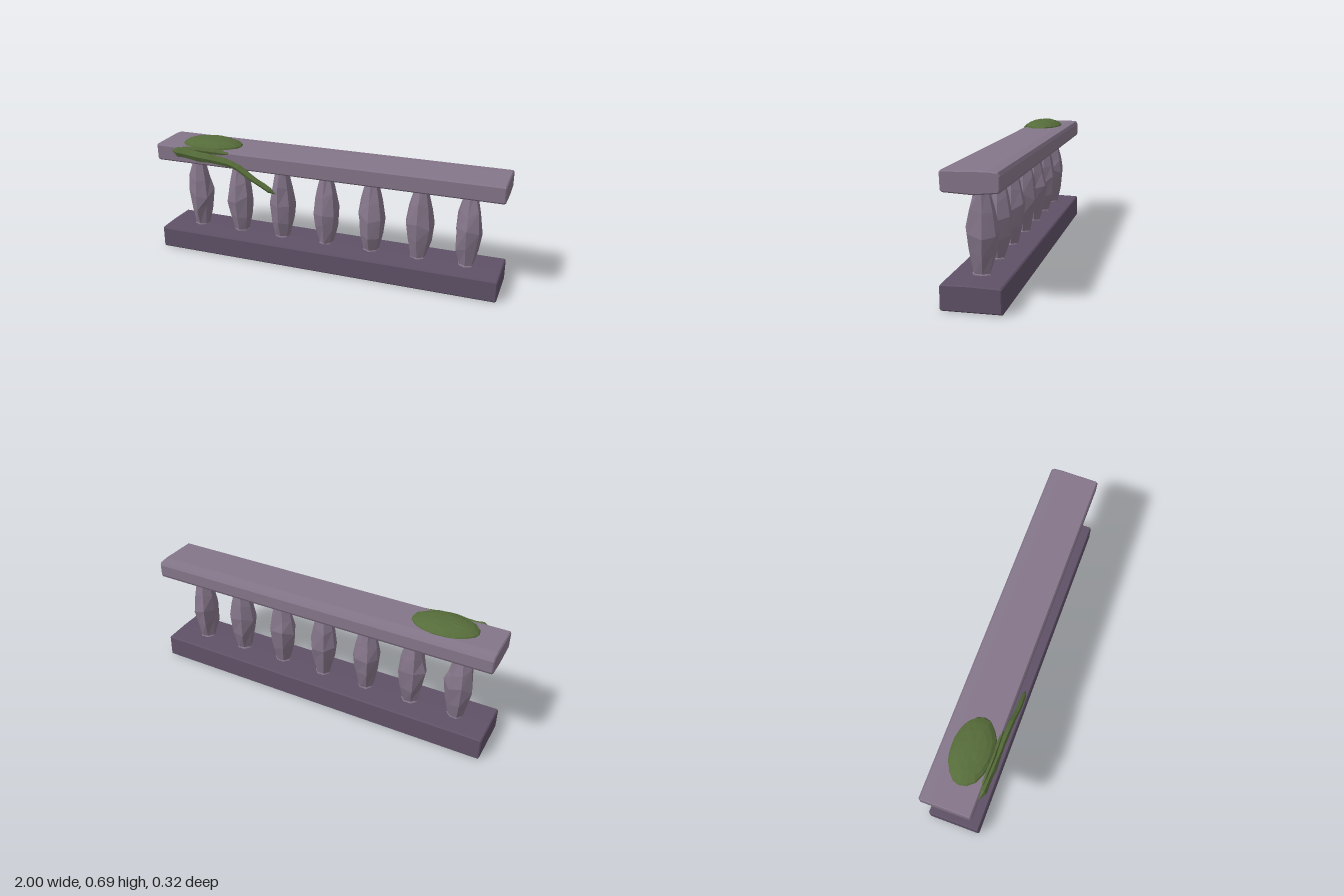
import * as THREE from 'three';

const mat = (name, color) => {
  const m = new THREE.MeshStandardMaterial({ color, flatShading: true });
  m.name = name;
  return m;
};

// repeatable offset in -1..1 that depends only on position, so seams stay closed
const wobble = (x, y, z, seed) => {
  const k = Math.round(x * 500) * 12.99 + Math.round(y * 500) * 7.23 + Math.round(z * 500) * 3.71 + seed * 5.17;
  const s = Math.sin(k) * 4375.85;
  return (s - Math.floor(s)) * 2 - 1;
};

// bar along x from a (-z, y) profile, with small bevels at the ends
function bar(profile, x0, x1, bevel) {
  const shape = new THREE.Shape(profile.map(([u, y]) => new THREE.Vector2(u, y)));
  const geo = new THREE.ExtrudeGeometry(shape, {
    depth: x1 - x0 - 2 * bevel, bevelThickness: bevel, bevelSize: bevel, bevelOffset: -bevel, bevelSegments: 1,
  });
  return geo.rotateY(Math.PI / 2).translate(x0 + bevel, 0, 0);
}

// faceted, roughly carved spindle
function spindle(seed) {
  const rings = [[0.12, 0.05], [0.135, 0.042], [0.235, 0.066], [0.33, 0.077], [0.43, 0.062], [0.55, 0.031]];
  const geo = new THREE.CylinderGeometry(1, 1, 5, 7, 5);
  const p = geo.attributes.position;
  for (let i = 0; i < p.count; i++) {
    const x = p.getX(i), y = p.getY(i), z = p.getZ(i);
    const row = Math.round(y + 2.5);
    const [h, r] = rings[row];
    const radius = r * (1 + 0.08 * wobble(x, y, z, seed));
    const lift = row > 1 && row < 5 ? 0.025 * wobble(z, y, x, seed + 3) : 0;
    p.setXYZ(i, x * radius, h + lift, z * radius * 1.05);
  }
  // turn each one so the facets differ
  return geo.rotateY(seed * 0.9);
}

// tapering tube with closed, pointed ends
function strand(points, radii, zScale) {
  const curve = new THREE.CatmullRomCurve3(points.map((q) => new THREE.Vector3(...q)));
  const n = 16, sides = 6;
  const geo = new THREE.TubeGeometry(curve, n, 1, sides);
  const p = geo.attributes.position;
  const v = new THREE.Vector3();
  for (let i = 0; i < p.count; i++) {
    const ring = Math.floor(i / (sides + 1));
    const c = curve.getPointAt(ring / n);
    const t = (ring / n) * (radii.length - 1);
    const k = Math.min(Math.floor(t), radii.length - 2);
    let r = THREE.MathUtils.lerp(radii[k], radii[k + 1], t - k);
    if (ring === 0 || ring === n) r *= 0.02;
    v.fromBufferAttribute(p, i).sub(c);
    r *= 1 + 0.1 * wobble(v.x, ring / 10, v.z, 2);
    p.setXYZ(i, c.x + v.x * r, c.y + v.y * r, c.z + v.z * r * zScale);
  }
  return geo;
}

export function createModel() {
  const model = new THREE.Group();
  model.name = 'balustrade';
  const stone = mat('light stone', 0x85768a);
  const darkStone = mat('dark stone', 0x5f5167);
  const moss = mat('moss green', 0x566c3a);
  const add = (name, geo, material) => {
    const m = new THREE.Mesh(geo, material);
    m.name = name;
    model.add(m);
    return m;
  };

  // plinth
  add('base', bar([
    [-0.13, 0], [0.158, 0.003], [0.158, 0.012], [0.155, 0.12], [0.148, 0.126],
    [0.0, 0.129], [-0.131, 0.125], [-0.137, 0.115], [-0.137, 0.007],
  ], -1, 0.998, 0.006), darkStone);

  // handrail
  add('handrail', bar([
    [-0.124, 0.556], [-0.114, 0.547], [0.03, 0.54], [0.144, 0.552], [0.15, 0.565],
    [0.15, 0.628], [0.14, 0.645], [0.09, 0.65], [-0.12, 0.645], [-0.127, 0.635],
  ], -1, 0.998, 0.006), stone);

  // balusters
  [-0.805, -0.54, -0.273, -0.003, 0.265, 0.54, 0.805].forEach((x, i) => {
    add('baluster', spindle(i + 1), stone).position.set(x, 0, -0.01);
  });

  // moss cushion on the rail
  const dome = new THREE.SphereGeometry(1, 18, 5, 0, Math.PI * 2, 0, Math.PI / 2);
  const p = dome.attributes.position;
  for (let i = 0; i < p.count; i++) {
    const x = p.getX(i), y = p.getY(i), z = p.getZ(i);
    const s = y > 0.99 ? 1 : 1 + 0.025 * wobble(x, y, z, 4);
    p.setXYZ(i, x * s * 0.185, y * s * 0.047, z * s * 0.112);
  }
  add('mossCushion', dome, moss).position.set(-0.69, 0.641, 0.015);

  // moss spilling over the front edge
  add('mossEdge', strand(
    [[-0.85, 0.632, 0.12], [-0.7, 0.638, 0.122], [-0.52, 0.632, 0.12]],
    [0.012, 0.02, 0.01], 0.7), moss);

  // hanging vine
  add('vine', strand(
    [[-0.9, 0.618, 0.128], [-0.72, 0.604, 0.134], [-0.5, 0.577, 0.139], [-0.38, 0.512, 0.144], [-0.245, 0.438, 0.139]],
    [0.03, 0.03, 0.022, 0.018, 0.016], 0.8), moss);

  return model;
}
